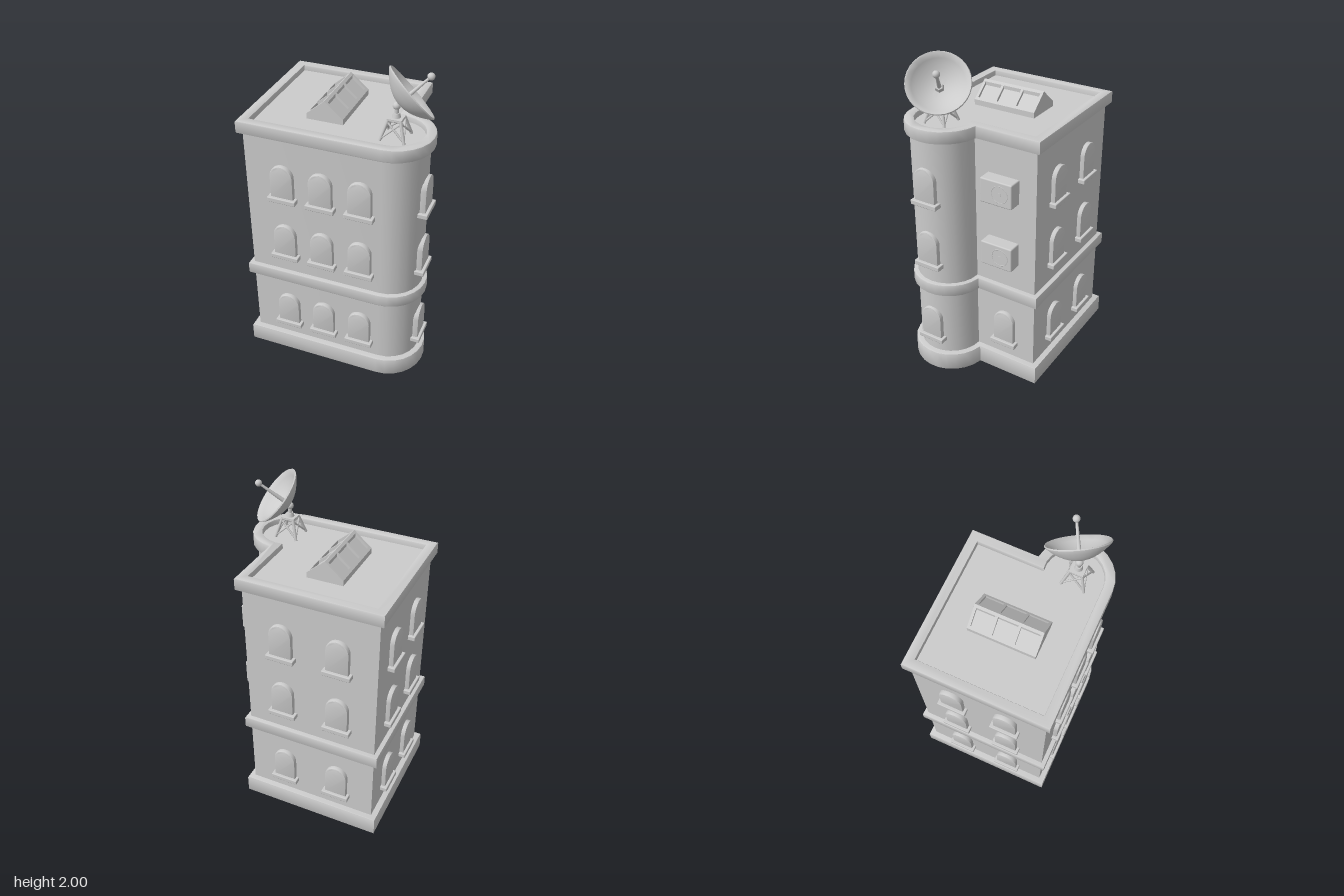
import * as THREE from 'three';
import { toCreasedNormals } from 'three/addons/utils/BufferGeometryUtils.js';
import { RoundedBoxGeometry } from 'three/addons/geometries/RoundedBoxGeometry.js';

const grey = new THREE.MeshStandardMaterial({ color: 0xcccccc });
const V = (x, y, z) => new THREE.Vector3(x, y, z);
const ROOF = 1.6;

function add(parent, name, geometry, x = 0, y = 0, z = 0) {
  const mesh = new THREE.Mesh(geometry, grey);
  mesh.name = name;
  mesh.position.set(x, y, z);
  parent.add(mesh);
  return mesh;
}

// Footprint grown by d: a rectangle with a round tower on its front left corner
function outline(d) {
  const r = 0.2 + d, cx = 0.31, cy = -0.2, n = 12;
  const start = -Math.PI / 2, end = Math.acos(d / r);
  const pts = [new THREE.Vector2(-0.51 - d, -0.4 - d)];
  for (let i = 0; i <= n; i++) {
    const a = start + (end - start) * i / n;
    pts.push(new THREE.Vector2(cx + r * Math.cos(a), cy + r * Math.sin(a)));
  }
  pts.push(new THREE.Vector2(cx + d, 0.4 + d), new THREE.Vector2(-0.51 - d, 0.4 + d));
  return pts;
}

// Upright slab of the footprint, with optional softened edges and hollow middle
function slab(d, y0, y1, bevel = 0, inner = null) {
  const shape = new THREE.Shape(outline(d));
  if (inner !== null) shape.holes.push(new THREE.Path(outline(inner)));
  const geo = new THREE.ExtrudeGeometry(shape, {
    depth: y1 - y0 - 2 * bevel, bevelEnabled: bevel > 0, bevelThickness: bevel,
    bevelSize: bevel, bevelOffset: -bevel, bevelSegments: 2,
  });
  geo.rotateX(-Math.PI / 2).translate(0, y0 + bevel, 0);
  return toCreasedNormals(geo, 0.6);
}

// Arched outline, half width w, from y0 up to the spring line and over
function arch(w, y0, spring, Type = THREE.Shape) {
  const s = new Type();
  s.moveTo(-w, y0);
  s.lineTo(w, y0);
  s.lineTo(w, spring);
  s.absarc(0, spring, w, 0, Math.PI, false);
  s.lineTo(-w, y0);
  return s;
}

function extrude(shape, depth, bevel = 0) {
  const geo = new THREE.ExtrudeGeometry(shape, {
    depth: depth - bevel, bevelEnabled: bevel > 0, bevelThickness: bevel,
    bevelSize: bevel, bevelOffset: -bevel, bevelSegments: 2, curveSegments: 10,
  });
  return toCreasedNormals(geo, 0.6);
}

// Window parts are shared by every window
function windowParts() {
  const frame = arch(0.07, 0.028, 0.167);
  frame.holes.push(arch(0.05, 0.03, 0.167, THREE.Path));
  const upper = arch(0.05, 0.138, 0.167);
  upper.holes.push(arch(0.039, 0.15, 0.167, THREE.Path));
  const lower = new THREE.Shape([[-0.05, 0.028], [0.05, 0.028], [0.05, 0.148], [-0.05, 0.148]].map(p => new THREE.Vector2(...p)));
  lower.holes.push(new THREE.Path([[-0.039, 0.042], [-0.039, 0.136], [0.039, 0.136], [0.039, 0.042]].map(p => new THREE.Vector2(...p))));
  return {
    windowFrame: extrude(frame, 0.047, 0.006).translate(0, 0, -0.02),
    upperSash: extrude(upper, 0.035).translate(0, 0, -0.02),
    lowerSash: extrude(lower, 0.04).translate(0, 0, -0.02),
    pane: extrude(arch(0.05, 0.028, 0.167), 0.03).translate(0, 0, -0.02),
    sill: new RoundedBoxGeometry(0.175, 0.03, 0.073, 2, 0.005).translate(0, 0.015, 0.007),
  };
}

// Straight round bar between two points
function beam(parent, name, a, b, r0, r1 = r0, sides = 6) {
  const dir = b.clone().sub(a);
  const mesh = add(parent, name, new THREE.CylinderGeometry(r1, r0, dir.length(), sides));
  mesh.position.copy(a).add(b).multiplyScalar(0.5);
  mesh.quaternion.setFromUnitVectors(V(0, 1, 0), dir.normalize());
}

function buildWindows(root) {
  const parts = windowParts();
  const rows = [0.205, 0.744, 1.154];
  const place = (x, y, z, turn) => {
    const g = new THREE.Group();
    g.name = 'window';
    for (const [name, geo] of Object.entries(parts)) add(g, name, geo);
    g.position.set(x, y, z);
    g.rotation.y = turn;
    root.add(g);
  };
  for (const y of rows) {
    for (const x of [-0.28, -0.045, 0.19]) place(x, y, 0.4, 0);
    for (const x of [-0.275, 0.075]) place(x, y, -0.4, Math.PI);
    for (const z of [-0.17, 0.16]) place(-0.51, y, z, -Math.PI / 2);
    place(0.5, y, 0.205, Math.PI / 2);
  }
  place(0.31, rows[0], -0.2, Math.PI / 2);
}

function buildAirConditioners(root) {
  for (const y of [0.878, 1.287]) {
    const g = new THREE.Group();
    g.name = 'airConditioner';
    g.position.set(0.346, y, -0.186);
    add(g, 'airConditionerCase', new RoundedBoxGeometry(0.092, 0.152, 0.207, 2, 0.008));
    add(g, 'fanRing', new THREE.TorusGeometry(0.052, 0.003, 6, 24).rotateY(Math.PI / 2), 0.045, 0, -0.025);
    add(g, 'fanHub', new THREE.CylinderGeometry(0.012, 0.012, 0.006, 12).rotateZ(Math.PI / 2), 0.045, 0, -0.025);
    root.add(g);
  }
}

function buildSkylight(root) {
  const g = new THREE.Group();
  g.name = 'skylight';
  g.position.set(-0.1, ROOF, 0);
  root.add(g);
  const prism = (name, pts, length, z) => {
    const shape = new THREE.Shape(pts.map(p => new THREE.Vector2(...p)));
    add(g, name, new THREE.ExtrudeGeometry(shape, { depth: length, bevelEnabled: false }), 0, 0, z - length / 2);
  };
  prism('skylightGlass', [[-0.105, 0], [0.105, 0], [0.105, 0.016], [0, 0.106], [-0.105, 0.016]], 0.39, 0);
  // Rafters and gable ends
  for (const z of [-0.193, -0.066, 0.066, 0.193])
    prism('rafter', [[-0.109, 0], [0.109, 0], [0.109, 0.033], [0, 0.126], [-0.109, 0.033]], 0.016, z);
  prism('ridge', [[-0.014, 0.09], [0.014, 0.09], [0.014, 0.115], [0, 0.127], [-0.014, 0.115]], 0.402, 0);
  prism('eave', [[0.096, 0], [0.11, 0], [0.11, 0.033], [0.096, 0.045]], 0.402, 0);
  prism('eave', [[-0.11, 0], [-0.096, 0], [-0.096, 0.045], [-0.11, 0.033]], 0.402, 0);
}

function buildDish(root) {
  const g = new THREE.Group();
  g.name = 'satelliteDish';
  root.add(g);
  const cx = 0.32, cz = 0.215, top = 1.715;
  // Lattice stand: splayed legs with crossed braces on each side
  const corner = (i, t) => {
    const a = Math.PI / 4 + i * Math.PI / 2, r = Math.SQRT2 * (0.068 - 0.033 * t);
    return V(cx + r * Math.cos(a), ROOF + (top - ROOF) * t, cz + r * Math.sin(a));
  };
  for (let i = 0; i < 4; i++) {
    beam(g, 'standLeg', corner(i, 0), corner(i, 1), 0.009);
    beam(g, 'standRail', corner(i, 0.97), corner(i + 1, 0.97), 0.007);
    beam(g, 'standBrace', corner(i, 0.1), corner(i + 1, 0.9), 0.006);
    beam(g, 'standBrace', corner(i + 1, 0.1), corner(i, 0.9), 0.006);
  }
  add(g, 'standTop', new THREE.BoxGeometry(0.082, 0.012, 0.082), cx, top, cz);
  beam(g, 'mountBase', V(cx, top, cz), V(cx, 1.745, cz), 0.026, 0.018, 12);
  beam(g, 'mountPost', V(cx, 1.74, cz), V(cx, 1.79, cz), 0.012, 0.012, 12);
  add(g, 'mountJoint', new THREE.SphereGeometry(0.022, 12, 8), cx, 1.787, cz);

  // Bowl, hub and feed arm share one tilted axis
  const head = new THREE.Group();
  head.name = 'dishHead';
  head.position.set(0.328, 1.797, 0.212);
  head.quaternion.setFromUnitVectors(V(0, 1, 0), V(0.65, 0.64, -0.41).normalize());
  g.add(head);
  const profile = [], R = 0.178, H = 0.085, n = 8;
  for (let i = 0; i <= n; i++) profile.push(new THREE.Vector2(R * i / n, H * (i / n) ** 2));
  profile.push(new THREE.Vector2(R + 0.004, H + 0.006), new THREE.Vector2(R, H + 0.012), new THREE.Vector2(R - 0.008, H + 0.01));
  for (let i = n - 1; i >= 0; i--) profile.push(new THREE.Vector2((R - 0.008) * i / n, 0.01 + (H - 0.003) * (i / n) ** 2));
  add(head, 'dishBowl', toCreasedNormals(new THREE.LatheGeometry(profile, 32), 0.7));
  add(head, 'feedHub', toCreasedNormals(new THREE.CylinderGeometry(0.022, 0.03, 0.03, 6), 0.5), 0, 0.022, 0);
  add(head, 'feedArm', new THREE.CylinderGeometry(0.007, 0.013, 0.19, 10), 0, 0.118, 0);
  add(head, 'feedHorn', new THREE.SphereGeometry(0.021, 12, 8), 0, 0.22, 0);
}

export function createModel() {
  const root = new THREE.Group();
  root.name = 'apartmentBuilding';
  // Walls, plinth, floor band and parapet
  add(root, 'walls', slab(0, 0.02, ROOF));
  add(root, 'plinth', slab(0.037, 0, 0.12, 0.008));
  add(root, 'floorBand', slab(0.028, 0.56, 0.638, 0.008));
  add(root, 'parapet', slab(0.028, 1.558, 1.635, 0.008, -0.03));
  buildWindows(root);
  buildAirConditioners(root);
  buildSkylight(root);
  buildDish(root);
  return root;
}
